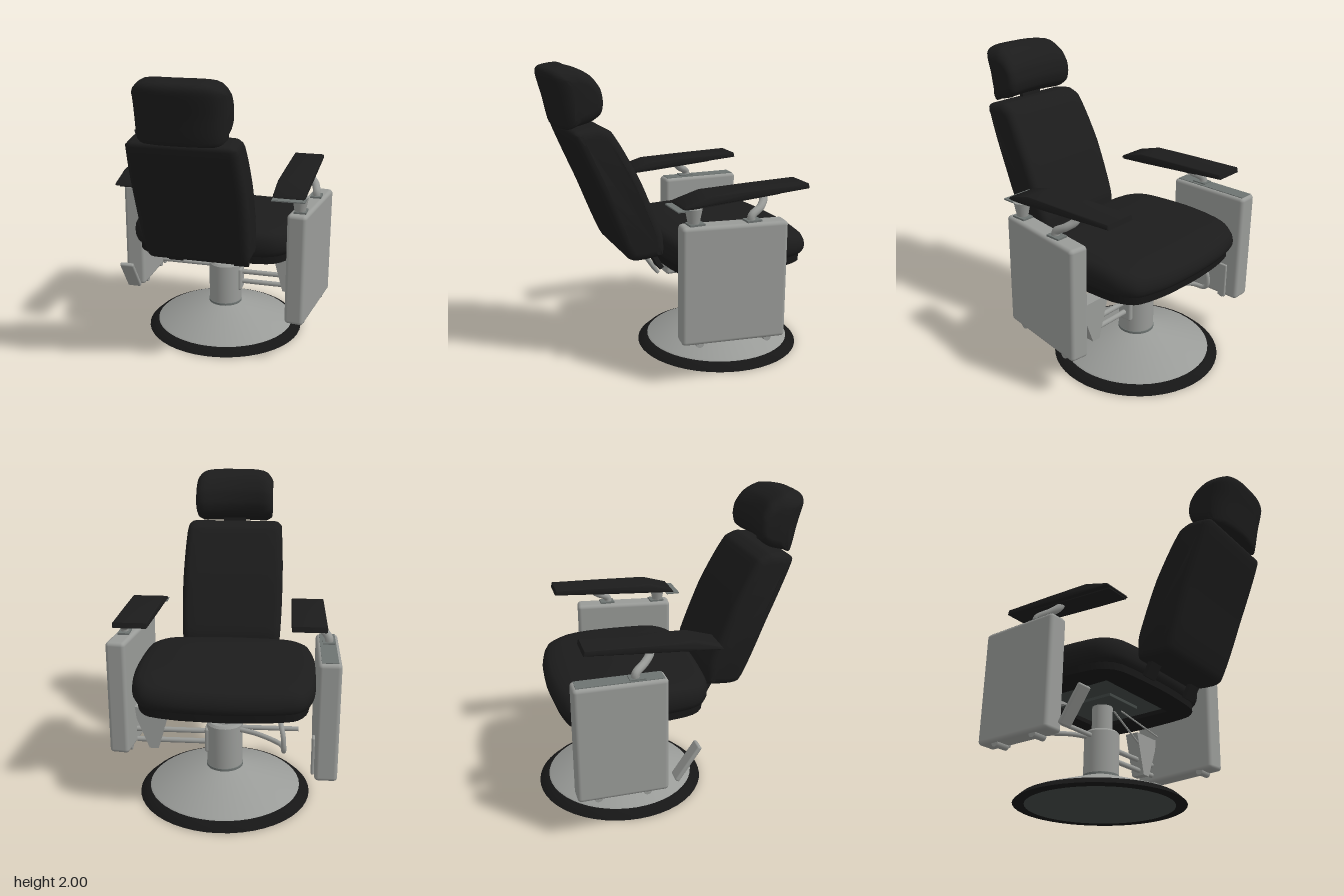
import * as THREE from 'three';
import { toCreasedNormals } from 'three/addons/utils/BufferGeometryUtils.js';
import { RoundedBoxGeometry } from 'three/addons/geometries/RoundedBoxGeometry.js';

const mat = (name, color) => Object.assign(new THREE.MeshStandardMaterial({ color }), { name });

export function createModel() {
  const root = new THREE.Group();
  root.name = 'treatmentChair';
  const black = mat('blackUpholstery', 0x1c1c1c);
  const rubber = mat('blackRubber', 0x161616);
  const grey = mat('greyMetal', 0x999b98);
  const steel = mat('darkSteel', 0x6d7371);
  const dark = mat('charcoalUnderside', 0x414745);

  const add = (name, geo, material, x = 0, y = 0, z = 0) => {
    const m = new THREE.Mesh(geo, material);
    m.name = name;
    m.position.set(x, y, z);
    root.add(m);
    return m;
  };
  const v2 = (pts) => pts.map((p) => new THREE.Vector2(...p));
  const v3 = (pts) => pts.map((p) => new THREE.Vector3(...p));

  // Closed smooth outline through a few points
  const loop = (pts, n, tension = 0.35) => {
    const c = new THREE.CatmullRomCurve3(v3(pts.map(([a, b]) => [a, b, 0])), true, 'catmullrom', tension);
    return c.getPoints(n).slice(0, n).map((p) => new THREE.Vector2(p.x, p.y));
  };
  const outline = (pts, n, tension) => new THREE.Shape(loop(pts, n, tension));
  const moveVertices = (g, rule) => {
    const p = g.attributes.position, v = new THREE.Vector3();
    for (let i = 0; i < p.count; i++) {
      rule(v.fromBufferAttribute(p, i), i);
      p.setXYZ(i, v.x, v.y, v.z);
    }
    return g;
  };
  // Side profile (z, y) extruded across x, with rounded edges and a vertex rule
  const across = (shape, width, bevel, rule = () => {}, steps = 1) => {
    const g = new THREE.ExtrudeGeometry(shape, {
      depth: width - 2 * bevel, steps, bevelEnabled: bevel > 0, bevelThickness: bevel,
      bevelSize: bevel, bevelOffset: -bevel, bevelSegments: 4,
    });
    g.translate(0, 0, -(width / 2 - bevel));
    g.rotateY(-Math.PI / 2);
    return toCreasedNormals(moveVertices(g, rule), 0.8);
  };
  const rod = (name, a, b, r, material = grey) => {
    const curve = new THREE.LineCurve3(...v3([a, b]));
    const m = add(name, new THREE.CylinderGeometry(r, r, curve.getLength(), 14), material);
    m.position.copy(curve.getPoint(0.5));
    m.quaternion.setFromUnitVectors(new THREE.Vector3(0, 1, 0), curve.getTangent(0));
  };
  const tube = (name, pts, r) =>
    add(name, new THREE.TubeGeometry(new THREE.CatmullRomCurve3(v3(pts)), 28, r, 10), grey);
  const lathe = (name, pts, material) =>
    add(name, toCreasedNormals(new THREE.LatheGeometry(v2(pts), 48), 0.6), material, -0.015, 0, -0.325);

  // Round base and column
  lathe('baseRim', [[0.49, 0.001], [0.56, 0.001], [0.565, 0.004], [0.52, 0.045], [0.49, 0.05]], rubber);
  lathe('baseUnderside', [[0, 0.001], [0.49, 0.001]], dark);
  lathe('baseCone', [[0.5, 0.048], [0.49, 0.058], [0.14, 0.178], [0.118, 0.185]], grey);
  lathe('lowerColumn', [[0.118, 0.17], [0.118, 0.485], [0.105, 0.5], [0.07, 0.5]], grey);
  lathe('columnSeam', [[0.118, 0.18], [0.121, 0.182], [0.121, 0.2], [0.118, 0.202]], steel);
  lathe('upperColumn', [[0.07, 0.49], [0.07, 0.7]], grey);
  add('mountPlate', new THREE.BoxGeometry(0.3, 0.02, 0.36), dark, -0.015, 0.69, -0.325);

  // Seat cushion: a turned pillow whose rings follow the seat outline (x, -z)
  const seatPts = [[-0.44, -0.17], [0, -0.2], [0.4, -0.17], [0.53, -0.05], [0.56, 0.3], [0.54, 0.6],
    [0.46, 0.74], [0.25, 0.795], [-0.04, 0.81], [-0.3, 0.795], [-0.5, 0.75], [-0.58, 0.62], [-0.61, 0.3], [-0.57, -0.05]];
  const seatLoop = loop(seatPts, 56);
  const rings = v2([[0, 0.735], [0.93, 0.735], [0.975, 0.755], [0.995, 0.785], [1, 0.825], [0.99, 0.865],
    [0.96, 0.895], [0.91, 0.912], [0.8, 0.92], [0.5, 0.923], [0, 0.924]]);
  const seat = moveVertices(new THREE.LatheGeometry(rings, 56), (v, i) => {
    const p = seatLoop[Math.floor(i / rings.length) % 56], s = rings[i % rings.length].x;
    v.x = -0.02 + (p.x + 0.02) * s;
    v.z = -(0.3 + (p.y - 0.3) * s);
    const front = THREE.MathUtils.clamp((-v.z - 0.42) / 0.38, 0, 1);
    v.y -= 0.045 * front * front * THREE.MathUtils.clamp((v.y - 0.74) / 0.12, 0, 1);
  });
  add('seatCushion', toCreasedNormals(seat, 0.9), black);

  // Seat frame with a recessed underside
  const frame = outline(seatPts.map(([a, b]) => [a * 0.94, 0.3 + (b - 0.3) * 0.94]), 48);
  frame.holes.push(new THREE.Path(v2([[-0.36, 0.02], [-0.36, 0.62], [0.32, 0.62], [0.32, 0.02]])));
  const frameGeo = new THREE.ExtrudeGeometry(frame, { depth: 0.055, bevelEnabled: false });
  add('seatFrame', toCreasedNormals(frameGeo.rotateX(-Math.PI / 2), 0.8), rubber, 0, 0.69, 0);
  add('seatPan', new THREE.BoxGeometry(0.7, 0.015, 0.62), dark, -0.02, 0.727, -0.32);

  // Backrest
  const backShape = outline([[0.43, 0.79], [0.6, 1.2], [0.765, 1.59], [0.72, 1.63], [0.61, 1.645],
    [0.53, 1.61], [0.46, 1.5], [0.35, 1.29], [0.21, 0.94], [0.2, 0.8], [0.23, 0.785]], 66, 0.25);
  add('backrest', across(backShape, 0.71, 0.05, (v) => {
    const t = (v.y - 1.2) / 0.43;
    v.x *= 1 - 0.055 * t * t;
  }, 10), black, -0.015, 0, 0);

  // Headrest, rounded behind and hollowed in front
  const headShape = outline([[0.815, 1.63], [0.86, 1.8], [0.895, 1.94], [0.87, 1.985], [0.74, 2],
    [0.63, 1.95], [0.565, 1.87], [0.545, 1.78], [0.565, 1.71], [0.64, 1.665], [0.75, 1.64]], 55);
  add('headrest', across(headShape, 0.55, 0.065, (v) => {
    const s = Math.min(1, Math.abs(v.x) / 0.275);
    const f = THREE.MathUtils.clamp((v.z - 0.55) / 0.3, 0, 1);
    v.z += (1 - f) * 0.04 * Math.cos(s * Math.PI / 2) - f * 0.07 * s ** 3;
    v.y -= 0.04 * s ** 5 * Math.max(0, (v.y - 1.82) / 0.18);
  }, 12), black, -0.01, 0, 0);
  add('headrestPost', new THREE.BoxGeometry(0.16, 0.1, 0.03), black, -0.01, 1.64, 0.69);
  for (const x of [-0.22, 0.23])
    add('backrestHinge', new THREE.BoxGeometry(0.1, 0.12, 0.03), black, x, 0.75, 0.235).rotation.x = 0.5;

  // Side cabinets: the one on +x is turned outward
  add('leftCabinet', new RoundedBoxGeometry(0.13, 0.765, 0.675, 3, 0.025), grey, 0.625, 0.683, -0.13).rotation.y = -0.133;
  add('rightCabinet', new RoundedBoxGeometry(0.14, 0.765, 0.575, 3, 0.025), grey, -0.664, 0.683, -0.455);
  add('rightCabinetTop', new THREE.BoxGeometry(0.1, 0.006, 0.535), steel, -0.664, 1.066, -0.455);
  for (const [x, z] of [[0.59, 0.09], [0.65, -0.35], [-0.66, -0.3], [-0.66, -0.61]])
    rod('cabinetFoot', [x - 0.05, 0.3, z], [x + 0.05, 0.3, z], 0.027);

  // Cabinet details: inner cover and tilted pedal
  add('innerCover', new RoundedBoxGeometry(0.02, 0.25, 0.06, 2, 0.008), grey, -0.586, 0.425, -0.63);
  add('pedal', new RoundedBoxGeometry(0.1, 0.27, 0.03, 2, 0.012), grey, -0.648, 0.435, -0.03).rotation.x = 0.6;

  // Armrests with under-plates and bent supports
  const padShape = new THREE.Shape(v2([[0.2, 1.175], [0.19, 1.192], [0.02, 1.242], [-0.3, 1.253],
    [-0.65, 1.262], [-0.658, 1.23], [-0.3, 1.205], [0, 1.186]]));
  const underShape = new THREE.Shape(v2([[0.19, 1.166], [0.19, 1.174], [0, 1.188], [-0.45, 1.222], [-0.45, 1.212], [0, 1.178]]));
  for (const s of [-1, 1]) {
    const side = s > 0 ? 'left' : 'right';
    const ax = s > 0 ? 0.528 : -0.54;
    const foot = s > 0 ? 0.645 : -0.67;
    add(side + 'ArmPad', across(padShape, 0.212, 0.009), black, ax, 0, 0);
    add(side + 'ArmUnderPlate', across(underShape, 0.17, 0), black, ax + 0.01, 0, 0);
    // The two supports lean opposite ways
    const z = (d) => -0.3 + s * d;
    tube(side + 'ArmSupport', [[foot, 1.06, z(0.06)], [foot, 1.1, z(0.055)],
      [s * 0.625, 1.14, z(-0.01)], [s * 0.59, 1.175, z(-0.05)], [s * 0.57, 1.21, z(-0.06)]], 0.026);
    add(side + 'SupportFoot', new THREE.BoxGeometry(0.075, 0.012, 0.1), steel, foot, 1.071, z(0.05));
  }
  add('leftPlateTail', new THREE.BoxGeometry(0.215, 0.008, 0.09), steel, 0.53, 1.166, 0.195);
  add('leftRearArmSupport', new THREE.CylinderGeometry(0.055, 0.035, 0.1, 16), grey, 0.59, 1.12, 0.12);
  add('leftRearSupportFoot', new THREE.BoxGeometry(0.08, 0.012, 0.1), steel, 0.595, 1.071, 0.11);

  // Linkage between the column and the +x cabinet
  rod('upperLinkRod', [0.08, 0.42, -0.33], [0.57, 0.42, -0.33], 0.018);
  rod('lowerLinkRod', [0.08, 0.345, -0.33], [0.57, 0.345, -0.33], 0.018);
  add('columnClamp', new RoundedBoxGeometry(0.05, 0.17, 0.1, 2, 0.015), grey, 0.09, 0.37, -0.33);
  const bracket = new THREE.Shape(v2([[0.34, 0.6], [0.57, 0.6], [0.56, 0.52], [0.48, 0.31], [0.42, 0.31]]));
  add('linkBracket', new THREE.ExtrudeGeometry(bracket, { depth: 0.1, bevelEnabled: false }), grey, 0, 0, -0.39);
  rod('diagonalRod', [0.08, 0.68, -0.3], [0.4, 0.51, -0.3], 0.007);
  rod('thinRod', [0.1, 0.675, -0.25], [0.53, 0.61, -0.25], 0.006);

  // Rod and bent hand lever on the -x side
  rod('sideRod', [-0.5, 0.455, -0.33], [-0.1, 0.455, -0.33], 0.016);
  const leverPlate = new THREE.Shape(v2([[-0.49, 0.69], [-0.43, 0.65], [-0.38, 0.645], [-0.2, 0.68], [-0.2, 0.69]]));
  add('leverPlate', new THREE.ExtrudeGeometry(leverPlate, { depth: 0.08, bevelEnabled: false }), grey, 0, 0, -0.56);
  tube('bentLever', [[-0.33, 0.67, -0.51], [-0.365, 0.645, -0.535], [-0.39, 0.58, -0.6], [-0.4, 0.54, -0.625],
    [-0.405, 0.46, -0.63], [-0.405, 0.43, -0.605], [-0.39, 0.43, -0.52], [-0.24, 0.45, -0.42], [-0.1, 0.455, -0.36]], 0.016);

  return root;
}
